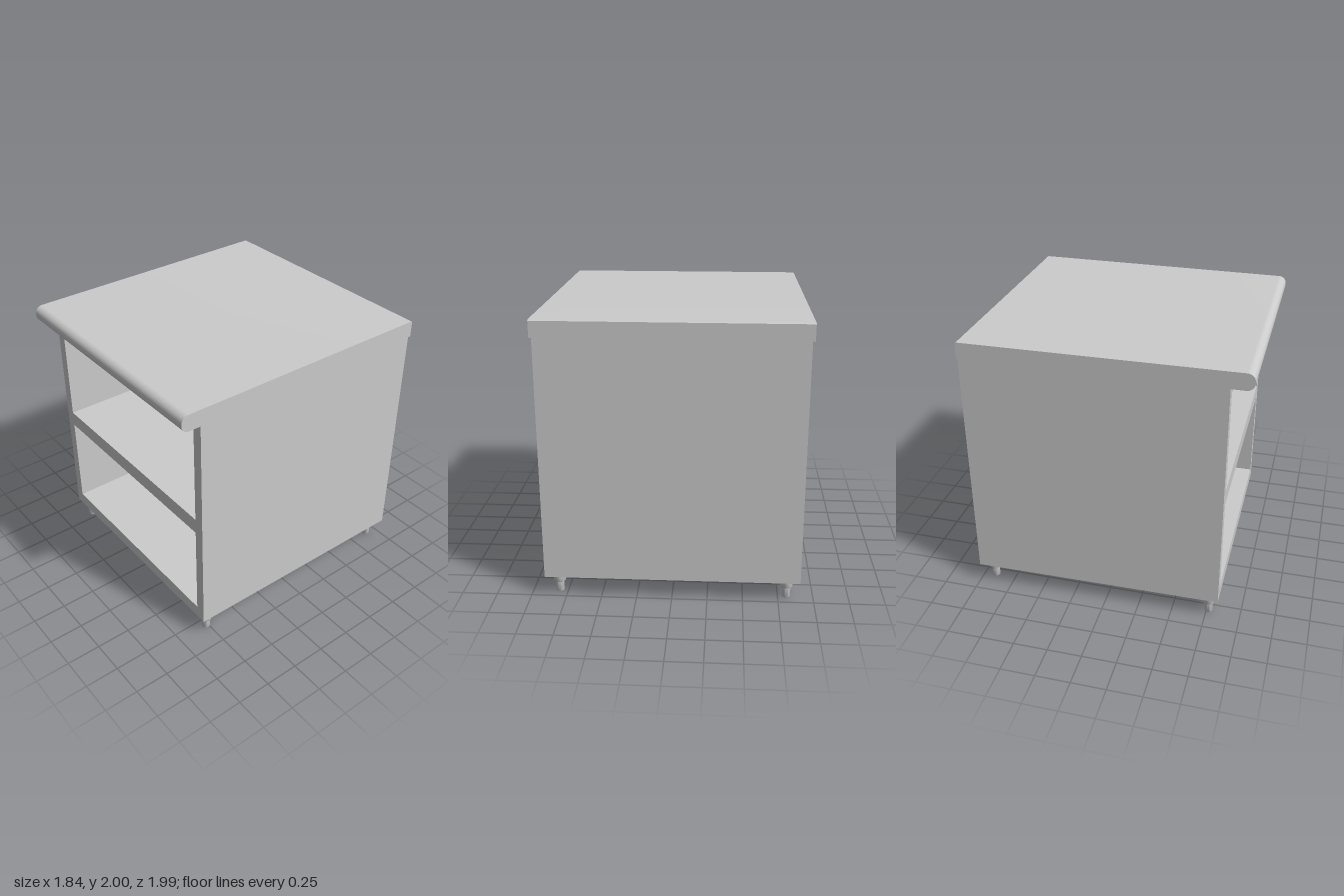
import * as THREE from 'three';
import { toCreasedNormals } from 'three/addons/utils/BufferGeometryUtils.js';

const BACK = -0.995;
const FRONT = 0.84;

// Slide the outer side faces inwards towards the front; inner faces stay put.
function taperSides(geometry, limit, backHalf, frontHalf, zFront) {
  const p = geometry.attributes.position;
  for (let i = 0; i < p.count; i++) {
    const x = p.getX(i);
    if (Math.abs(x) < limit) continue;
    const t = (p.getZ(i) - BACK) / (zFront - BACK);
    p.setX(i, Math.sign(x) * THREE.MathUtils.lerp(backHalf, frontHalf, t));
  }
  return toCreasedNormals(geometry, 0.6);
}

function rectangle(Type, x0, y0, x1, y1) {
  const r = new Type();
  r.moveTo(x0, y0);
  r.lineTo(x1, y0);
  r.lineTo(x1, y1);
  r.lineTo(x0, y1);
  r.closePath();
  return r;
}

export function createModel() {
  const model = new THREE.Group();
  model.name = 'counterCabinet';
  const material = new THREE.MeshStandardMaterial({ color: 0xcccccc });

  function add(name, geometry) {
    const mesh = new THREE.Mesh(geometry, material);
    mesh.name = name;
    model.add(mesh);
    return mesh;
  }

  // Carcass: frame, sides and shelf in one piece, with two open compartments
  const backThickness = 0.04;
  const outline = rectangle(THREE.Shape, -0.9, 0.145, 0.9, 1.88);
  for (const [y0, y1] of [[0.24, 0.95], [1.065, 1.805]]) {
    outline.holes.push(rectangle(THREE.Path, -0.81, y0, 0.81, y1));
  }
  const carcass = new THREE.ExtrudeGeometry(outline, {
    depth: FRONT - BACK - backThickness, bevelEnabled: false,
  });
  carcass.translate(0, 0, BACK + backThickness);
  add('carcass', taperSides(carcass, 0.85, 0.902, 0.885, FRONT));

  // Back panel closing the compartments
  const back = new THREE.BoxGeometry(1.8, 1.735, backThickness);
  back.translate(0, 1.0125, BACK + backThickness / 2);
  add('backPanel', taperSides(back, 0.85, 0.902, 0.885, FRONT));

  // Worktop: side profile with a rounded nose, swept across the width
  const r = 0.056;
  const nose = 0.995 - r;
  const profile = new THREE.Shape();
  profile.moveTo(BACK, 1.88);
  profile.lineTo(nose, 1.88);
  profile.absarc(nose, 1.88 + r, r, -Math.PI / 2, 0, false);
  profile.absarc(nose, 2 - r, r, 0, Math.PI / 2, false);
  profile.lineTo(BACK + 0.008, 2);
  profile.lineTo(BACK, 1.992);
  profile.closePath();
  const top = new THREE.ExtrudeGeometry(profile, {
    depth: 1.84, bevelEnabled: false, curveSegments: 10,
  });
  top.rotateY(-Math.PI / 2);
  top.translate(0.92, 0, 0);
  add('worktop', taperSides(top, 0.5, 0.919, 0.904, 0.995));

  // Adjustable feet: wide collar over a narrower stem
  const footProfile = [[0, 0], [0.028, 0], [0.03, 0.004], [0.03, 0.08], [0.041, 0.08], [0.044, 0.085], [0.044, 0.146]]
    .map(([x, y]) => new THREE.Vector2(x, y));
  const foot = toCreasedNormals(new THREE.LatheGeometry(footProfile, 24), 0.6);
  for (const [zName, z] of [['front', 0.765], ['back', -0.91]]) {
    for (const [xName, x] of [['Left', 0.81], ['Right', -0.81]]) {
      add(`${zName}${xName}Foot`, foot).position.set(x, 0, z);
    }
  }

  return model;
}
